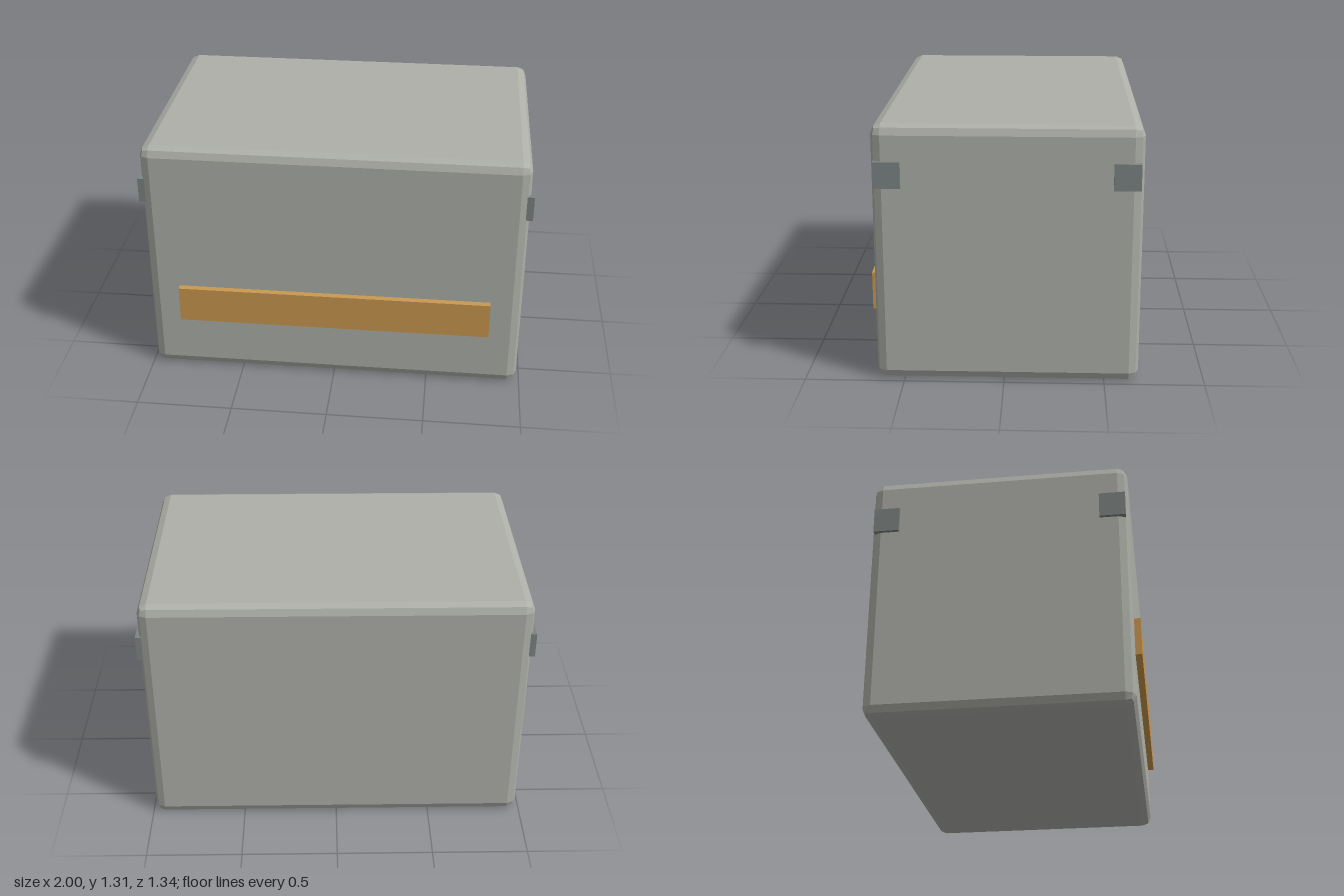
import * as THREE from 'three';
import { RoundedBoxGeometry } from 'three/addons/geometries/RoundedBoxGeometry.js';

export function createModel() {
  const model = new THREE.Group();
  model.name = 'container';

  const casing = new THREE.MeshStandardMaterial({ color: 0xadafa8, flatShading: true });
  casing.name = 'casing grey';
  const metal = new THREE.MeshStandardMaterial({ color: 0x7d8483 });
  metal.name = 'bracket grey';
  const amber = new THREE.MeshStandardMaterial({ color: 0xca9850 });
  amber.name = 'amber';

  const add = (name, geometry, material, x, y, z) => {
    const mesh = new THREE.Mesh(geometry, material);
    mesh.name = name;
    mesh.position.set(x, y, z);
    model.add(mesh);
  };

  // Casing with a two-facet bevel on every edge
  add('body', new RoundedBoxGeometry(1.966, 1.31, 1.31, 1, 0.05), casing, 0, 0.655, -0.0165);

  // Raised band across the front
  add('frontBand', new THREE.BoxGeometry(1.64, 0.196, 0.066), amber, 0, 0.413, 0.6385);

  // Four corner brackets on the sides
  for (const side of [-1, 1]) {
    for (const [end, z] of [['front', 0.56], ['back', -0.59]]) {
      const name = `${end}${side > 0 ? 'Left' : 'Right'}Bracket`;
      add(name, new THREE.BoxGeometry(0.066, 0.131, 0.131), metal, side * 0.967, 1.068, z);
    }
  }

  return model;
}
